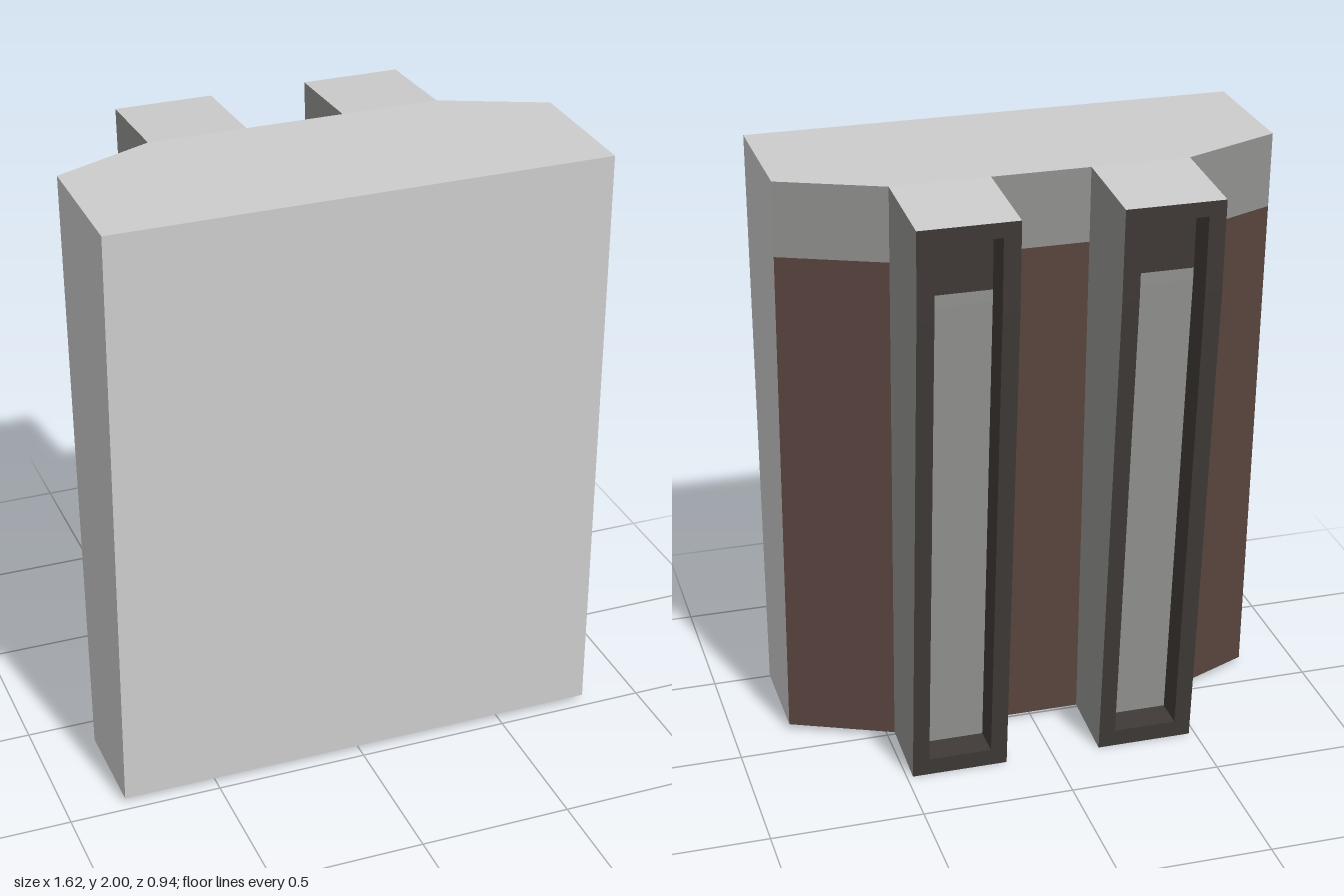
import * as THREE from 'three';

const V = (x, y, z) => new THREE.Vector3(x, y, z);
const lerp = THREE.MathUtils.lerp;

function mat(name, color) {
  const m = new THREE.MeshStandardMaterial({ color });
  m.name = name;
  return m;
}

// Flat mesh from convex polygons; each entry is [points, outward direction]
function faces(name, material, list) {
  const pos = [];
  for (const [pts, out] of list) {
    for (let i = 1; i < pts.length - 1; i++) {
      const [a, b, c] = [pts[0], pts[i], pts[i + 1]];
      const n = b.clone().sub(a).cross(c.clone().sub(a));
      const tri = n.dot(out) < 0 ? [a, c, b] : [a, b, c];
      for (const p of tri) pos.push(p.x, p.y, p.z);
    }
  }
  const g = new THREE.BufferGeometry();
  g.setAttribute('position', new THREE.Float32BufferAttribute(pos, 3));
  g.computeVertexNormals();
  const mesh = new THREE.Mesh(g, material);
  mesh.name = name;
  return mesh;
}

const UP = V(0, 1, 0), DOWN = V(0, -1, 0), FRONT = V(0, 0, 1), BACK = V(0, 0, -1);
const RIGHT = V(1, 0, 0), LEFT = V(-1, 0, 0);
const W = 0.81, IN = 0.48, Y0 = 0.02, Y1 = 2, SPLIT = 1.75;
const edgeZ = (y) => lerp(0.13, 0.015, (y - Y0) / (Y1 - Y0)); // side edge of the slanted back
const backZ = (y) => lerp(-0.02, -0.13, (y - Y0) / (Y1 - Y0)); // flat middle of the back
const railZ = (y) => (y < 1.68 ? lerp(-0.275, -0.45, y / 1.68) : lerp(-0.45, -0.47, (y - 1.68) / 0.3));

// Horizontal outline of the main block at height y
const section = (y) => [
  V(W, y, 0.47), V(W, y, edgeZ(y)), V(IN, y, backZ(y)),
  V(-IN, y, backZ(y)), V(-W, y, edgeZ(y)), V(-W, y, 0.47),
];

function backPanels(lo, hi) {
  const a = section(lo), b = section(hi);
  return [1, 2, 3].map((i) => [[a[i], a[i + 1], b[i + 1], b[i]], BACK]);
}

function rail(sign, light, grey, dark) {
  const g = new THREE.Group();
  g.name = sign > 0 ? 'leftRail' : 'rightRail';
  const xs = [0.16, 0.215, 0.425, 0.48].map((x) => x * sign);
  const ys = [0, 0.06, 1.68, 1.93, 1.98];
  const P = (i, y, depth = 0) => V(xs[i], y, railZ(y) + depth);
  const D = 0.11;

  // side walls
  const side = (x) => [[Y0, backZ(Y0)], [0, railZ(0)], [1.68, railZ(1.68)], [1.98, railZ(1.98)], [Y1, backZ(Y1)]]
    .map(([y, z]) => V(x, y, z));
  const a = side(xs[0]), b = side(xs[3]);
  const outer = sign > 0 ? RIGHT : LEFT, inner = sign > 0 ? LEFT : RIGHT;
  g.add(faces('railSides', grey, [[a, inner], [b, outer]]));
  g.add(faces('railEnds', light, [
    [[a[3], a[4], b[4], b[3]], UP],
    [[a[0], a[1], b[1], b[0]], DOWN],
  ]));

  // rim around the long recess, plus the recess walls
  const rim = [];
  for (let r = 0; r < 4; r++) {
    for (let c = 0; c < 3; c++) {
      if (c === 1 && (r === 1 || r === 2)) continue;
      rim.push([[P(c, ys[r]), P(c + 1, ys[r]), P(c + 1, ys[r + 1]), P(c, ys[r + 1])], BACK]);
    }
  }
  for (const r of [1, 2]) {
    const [lo, hi] = [ys[r], ys[r + 1]];
    rim.push([[P(1, lo), P(1, hi), P(1, hi, D), P(1, lo, D)], outer]);
    rim.push([[P(2, lo), P(2, hi), P(2, hi, D), P(2, lo, D)], inner]);
  }
  rim.push([[P(1, ys[1]), P(2, ys[1]), P(2, ys[1], D), P(1, ys[1], D)], UP]);
  rim.push([[P(1, ys[3]), P(2, ys[3]), P(2, ys[3], D), P(1, ys[3], D)], DOWN]);
  g.add(faces('railRim', dark, rim));

  // recess floor: dark top part, grey strip below
  const floor = (lo, hi) => [[P(1, lo, D), P(2, lo, D), P(2, hi, D), P(1, hi, D)], BACK];
  g.add(faces('recessStrip', grey, [floor(ys[1], 1.68), floor(1.68, 1.72)]));
  g.add(faces('recessTop', dark, [floor(1.72, ys[3])]));
  return g;
}

export function createModel() {
  const light = mat('lightGrey', 0xcccccc);
  const grey = mat('midGrey', 0x949492);
  const brown = mat('darkBrown', 0x5b463f);
  const dark = mat('charcoal', 0x403a38);
  const model = new THREE.Group();
  model.name = 'slabWithRails';

  // main block
  const lo = section(Y0), hi = section(Y1);
  model.add(faces('block', light, [
    [hi, UP],
    [lo, DOWN],
    [[lo[0], lo[5], hi[5], hi[0]], FRONT],
    [[lo[0], lo[1], hi[1], hi[0]], RIGHT],
    [[lo[5], lo[4], hi[4], hi[5]], LEFT],
  ]));

  // slanted back: grey band over brown panels
  model.add(faces('backBand', grey, backPanels(SPLIT, Y1)));
  model.add(faces('backPanels', brown, backPanels(Y0, SPLIT)));

  // pair of rails
  for (const s of [1, -1]) model.add(rail(s, light, grey, dark));
  return model;
}
